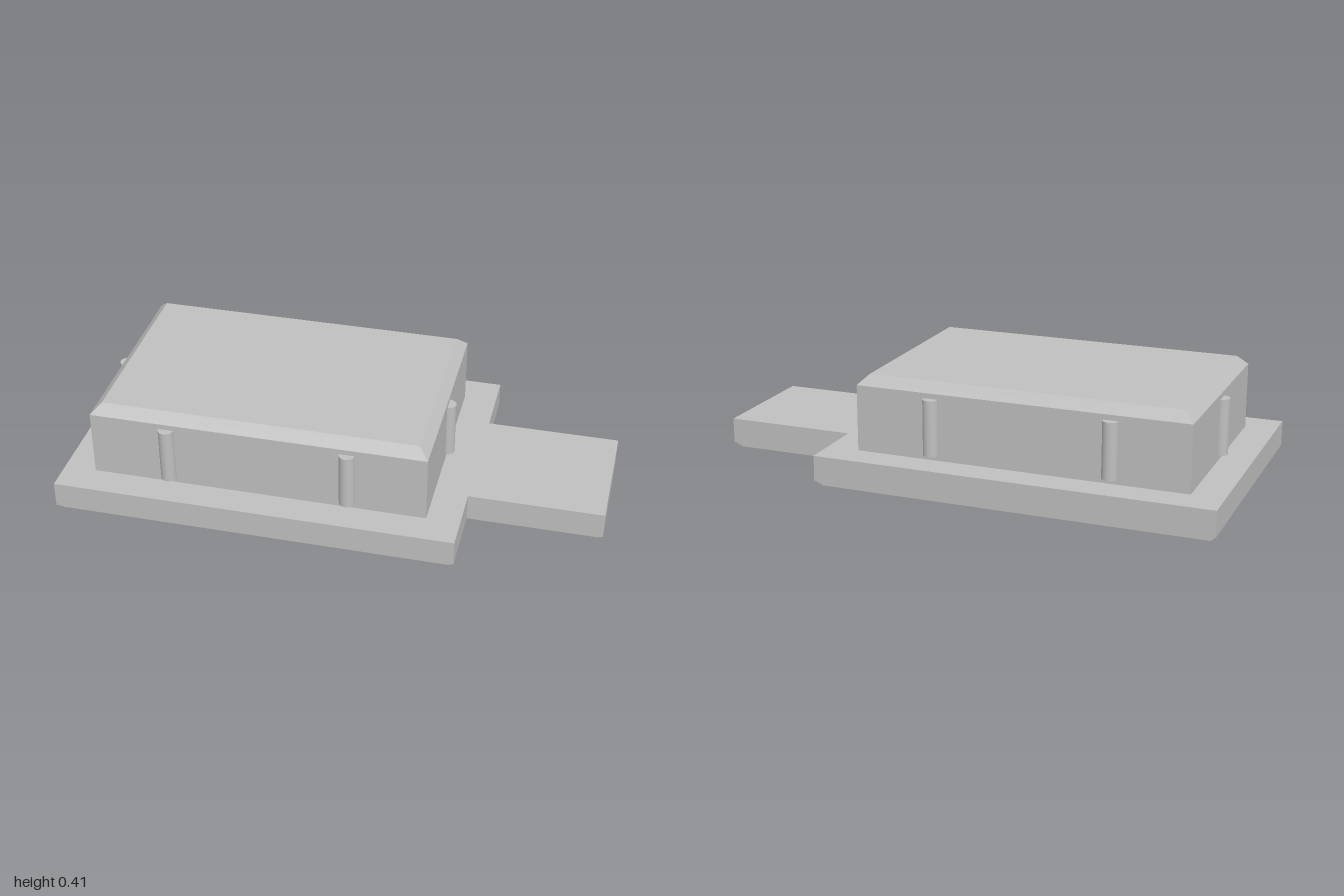
import * as THREE from 'three';

const grey = new THREE.MeshStandardMaterial({ color: 0xbfbfbf });
grey.name = 'plain grey';

// T-shaped slab, inset from the full outline, between two heights
function slab(inset, y0, y1) {
  const body = 0.52 - inset, neck = 0.24 - inset;
  const left = -1 + inset, step = 0.5 - inset, right = 1 - inset;
  const shape = new THREE.Shape([
    [left, -body], [step, -body], [step, -neck], [right, -neck],
    [right, neck], [step, neck], [step, body], [left, body],
  ].map(([x, y]) => new THREE.Vector2(x, y)));
  const g = new THREE.ExtrudeGeometry(shape, { depth: y1 - y0, bevelEnabled: false });
  return g.rotateX(-Math.PI / 2).translate(0, y0, 0);
}

export function createModel() {
  const model = new THREE.Group();
  model.name = 'steppedCase';
  const add = (name, geometry) => {
    const mesh = new THREE.Mesh(geometry, grey);
    mesh.name = name;
    model.add(mesh);
    return mesh;
  };

  // Base plate with a finely stepped lower edge
  const plateBottom = 0.021, plateTop = 0.118;
  add('basePlate', slab(0, plateBottom, plateTop));
  for (let i = 0; i < 3; i++) {
    add('baseStep', slab(0.02 - i * 0.0065, i * 0.007, (i + 1) * 0.007));
  }

  // Raised block
  const x0 = -0.88, x1 = 0.376, halfDepth = 0.403;
  const shoulder = 0.368, top = 0.405, bevel = 0.037;
  const width = x1 - x0, centre = (x0 + x1) / 2;
  add('block', new THREE.BoxGeometry(width, shoulder - plateTop, halfDepth * 2))
    .position.set(centre, (shoulder + plateTop) / 2, 0);

  // Bevelled lid: a box whose top corners are drawn inwards
  const lid = new THREE.BoxGeometry(width, top - shoulder, halfDepth * 2).toNonIndexed();
  const p = lid.attributes.position;
  for (let i = 0; i < p.count; i++) {
    if (p.getY(i) > 0) {
      p.setX(i, p.getX(i) - Math.sign(p.getX(i)) * bevel);
      p.setZ(i, p.getZ(i) - Math.sign(p.getZ(i)) * bevel);
    }
  }
  lid.computeVertexNormals();
  add('bevelledLid', lid).position.set(centre, (top + shoulder) / 2, 0);

  // Half-sunk upright ribs around the block
  const ribs = [[x0, 0], [x1, 0]];
  for (const x of [-0.59, 0.084]) ribs.push([x, halfDepth], [x, -halfDepth]);
  for (const [x, z] of ribs) {
    add('rib', new THREE.CylinderGeometry(0.029, 0.029, 0.211, 32)).position.set(x, 0.2425, z);
  }

  return model;
}
